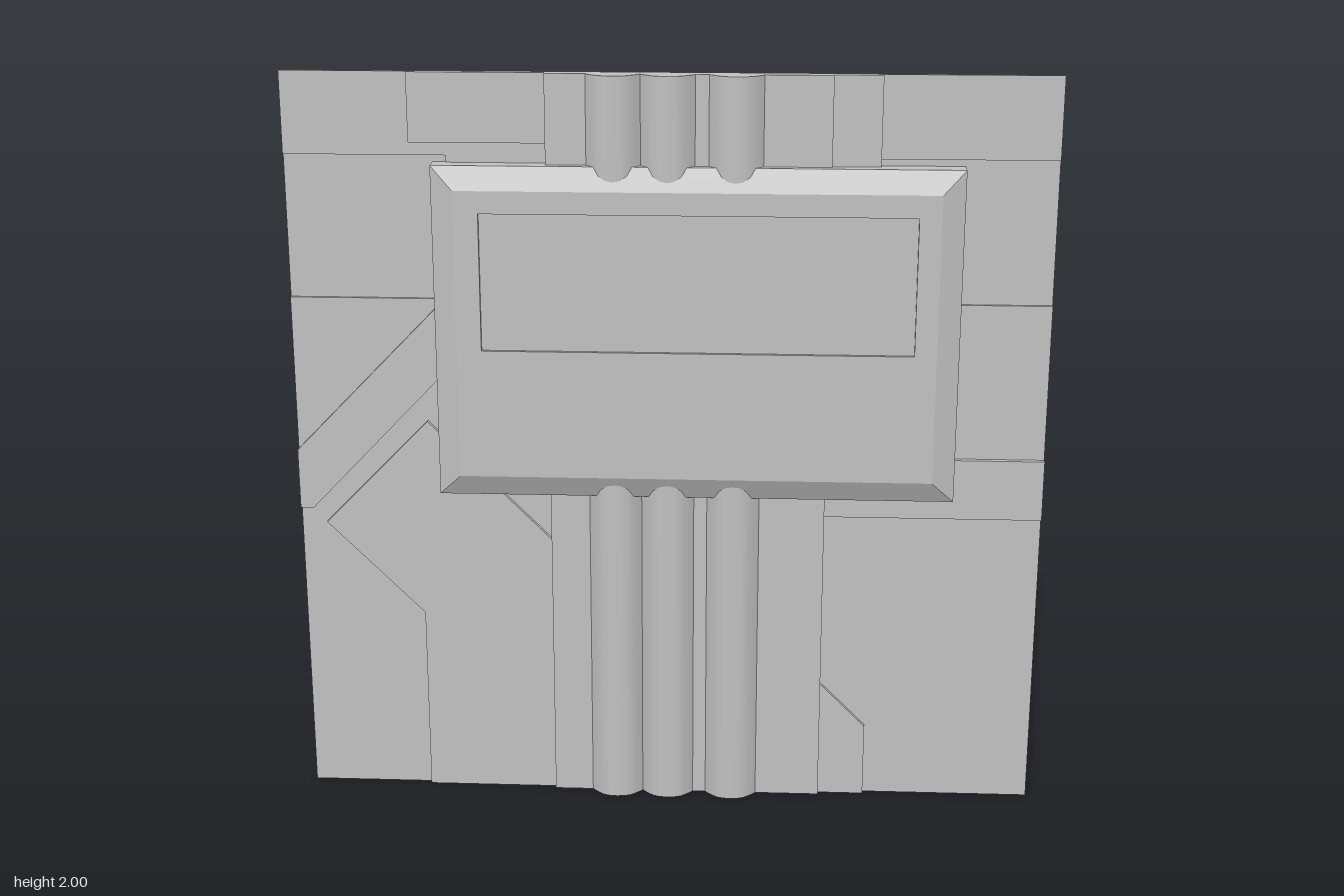
import * as THREE from 'three';
import { mergeGeometries, toCreasedNormals } from 'three/addons/utils/BufferGeometryUtils.js';

const BACK = -0.045;
const grey = new THREE.MeshStandardMaterial({ color: 0xc0c0c0, side: THREE.DoubleSide });
grey.name = 'panelGrey';

// Corners of a rectangle, anticlockwise
const rect = (x0, y0, x1, y1) => [[x0, y0], [x1, y0], [x1, y1], [x0, y1]];

// Strip of walls joining two outlines with the same number of corners
function walls(low, zLow, high, zHigh) {
  const pos = [];
  low.forEach((a, i) => {
    const j = (i + 1) % low.length, b = low[j], c = high[j], d = high[i];
    pos.push(...a, zLow, ...b, zLow, ...c, zHigh, ...a, zLow, ...c, zHigh, ...d, zHigh);
  });
  const g = new THREE.BufferGeometry();
  g.setAttribute('position', new THREE.Float32BufferAttribute(pos, 3));
  g.computeVertexNormals();
  return g;
}

// Flat face at depth z, with an optional hole
function face(points, z, hole) {
  const toVec = (list) => list.map(([x, y]) => new THREE.Vector2(x, y));
  const shape = new THREE.Shape(toVec(points));
  if (hole) shape.holes.push(new THREE.Path(toVec(hole)));
  const g = new THREE.ShapeGeometry(shape).toNonIndexed();
  g.deleteAttribute('uv');
  return g.translate(0, 0, z);
}

export function createModel() {
  const root = new THREE.Group();
  root.name = 'wallPanel';
  const add = (name, geometry) => {
    const mesh = new THREE.Mesh(geometry, grey);
    mesh.name = name;
    root.add(mesh);
  };
  // Open-backed plate: a front face with walls reaching the back plane
  const plate = (name, points, z) =>
    add(name, mergeGeometries([face(points, z), walls(points, BACK, points, z)]));

  // Main sheet with a notch on either side, filled by recessed sheets
  plate('mainSheet', [
    [-1, 0], [1, 0], [1, 1.405], [0.545, 1.405], [0.545, 1.785], [1, 1.785],
    [1, 2], [-1, 2], [-1, 1.785], [-0.575, 1.785], [-0.575, 1.405], [-1, 1.405],
  ], -0.033);
  plate('recessedSheetRight', rect(-1, 1.405, -0.575, 1.785), -0.041);
  plate('recessedSheetLeft', rect(0.545, 1.405, 1, 1.785), -0.041);

  // Raised band that bends behind the housing
  plate('bentBand', [
    [-1, 0.82], [-0.965, 0.82], [-0.61, 1.19], [-0.02, 1.19], [0.07, 0.82], [1, 0.82],
    [1, 0.985], [0.34, 0.985], [0.34, 1.375], [0.54, 1.57], [-0.43, 1.57], [-1, 0.985],
  ], -0.018);

  // Raised plates above and below
  plate('lowerRightPlate', [
    [-0.67, 0], [-0.09, 0], [-0.09, 0.515], [-0.645, 1.07], [-0.93, 0.78], [-0.67, 0.52],
  ], -0.02);
  plate('lowerLeftPlate', [
    [0.26, 0], [0.545, 0], [0.545, 0.205], [0.33, 0.42], [0.26, 0.42],
  ], -0.02);
  plate('upperRightPlate', rect(-0.67, 1.82, -0.09, 2), -0.02);
  plate('upperLeftPlate', rect(0.26, 1.61, 0.545, 2), -0.02);

  // Channel carrying the pipes
  plate('lowerChannel', rect(-0.315, 0, 0.42, 0.95), -0.008);
  plate('upperChannel', rect(-0.315, 1.7, 0.42, 2), -0.008);

  // Three half-round pipes running the full height
  const half = [[0.07, -0.008], [0.062, 0.002], [0.05, 0.014], [0.037, 0.025], [0.02, 0.031]];
  const profile = [
    [-0.07, -0.02], ...half.map(([x, z]) => [-x, z]), [0, 0.033],
    ...half.slice().reverse(), [0.07, -0.02],
  ];
  for (const x of [-0.14, 0, 0.175]) {
    const shape = new THREE.Shape(profile.map(([px, z]) => new THREE.Vector2(px, -z)));
    const g = new THREE.ExtrudeGeometry(shape, { depth: 2, bevelEnabled: false });
    g.rotateX(-Math.PI / 2).translate(x, 0, 0);
    add('pipe', toCreasedNormals(g, 0.5));
  }

  // Bevelled housing with a shallow recessed window
  const outer = rect(-0.61, 0.88, 0.76, 1.767);
  const inner = rect(-0.55, 0.94, 0.7, 1.707);
  const recess = rect(-0.485, 1.285, 0.642, 1.648);
  add('housing', mergeGeometries([
    walls(outer, BACK, outer, 0.014),
    walls(outer, 0.014, inner, 0.045),
    face(inner, 0.045, recess),
  ]));
  add('housingWindow', mergeGeometries([
    walls(recess.slice().reverse(), 0.035, recess.slice().reverse(), 0.045),
    face(recess, 0.035),
  ]));

  return root;
}
